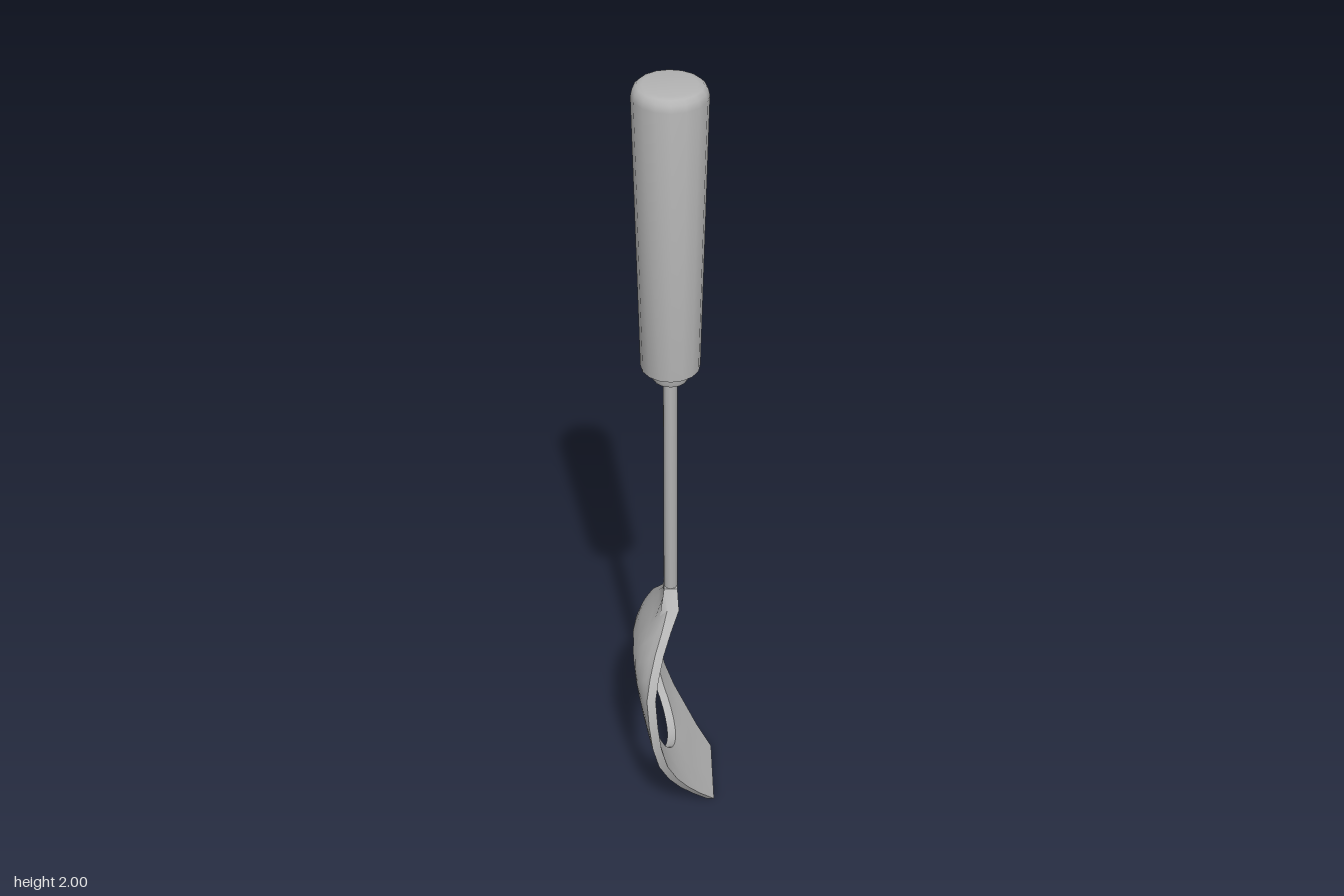
import * as THREE from 'three';
import { toCreasedNormals } from 'three/addons/utils/BufferGeometryUtils.js';

const AXIS = -0.007; // x of the handle axis

// linear interpolation through [y, value] pairs
function lerpTable(table, y) {
  if (y <= table[0][0]) return table[0][1];
  for (let i = 1; i < table.length; i++) {
    const [y0, a] = table[i - 1], [y1, b] = table[i];
    if (y <= y1) return a + (b - a) * (y - y0) / (y1 - y0);
  }
  return table[table.length - 1][1];
}

// half outline of the blade: [y, half width]
const OUTLINE = [[0.0, 0.105], [0.05, 0.137], [0.1, 0.167], [0.15, 0.19], [0.21, 0.21], [0.28, 0.22],
  [0.35, 0.218], [0.42, 0.2], [0.47, 0.175], [0.52, 0.14], [0.56, 0.1], [0.6, 0.06], [0.64, 0.022]];
// depth of the blade along its centre and along its rim: [y, x]
const CENTRE = [[0, 0.097], [0.06, 0.05], [0.14, -0.006], [0.2, -0.035], [0.3, -0.072], [0.4, -0.092],
  [0.45, -0.095], [0.5, -0.079], [0.56, -0.043], [0.6, -0.014], [0.64, AXIS]];
const RIM = [[0, 0.097], [0.06, 0.05], [0.14, 0.0], [0.2, -0.028], [0.3, -0.051], [0.42, -0.06],
  [0.5, -0.047], [0.56, -0.02], [0.6, -0.002], [0.64, AXIS]];

function bladeX(y, z) {
  const t = Math.min(1, Math.abs(z) / lerpTable(OUTLINE, y));
  const c = lerpTable(CENTRE, y);
  return c + (lerpTable(RIM, y) - c) * Math.pow(t, 2.6);
}

// dished plate with an oval hole, swept as closed sections around the hole
function bladeGeometry() {
  const half = [[0, 0], [0, 0.05], ...OUTLINE, [0.64, 0]];
  const loop = [...half, ...half.slice(1, -1).reverse().map(([y, z]) => [y, -z])];
  const steps = 7, cy = 0.298, ry = 0.16, rz = 0.152;
  const pos = [], idx = [];
  for (const [y, z] of loop) {
    const a = Math.atan2(z / rz, (y - cy) / ry);
    const hy = cy + ry * Math.cos(a), hz = rz * Math.sin(a);
    for (const side of [1, -1]) {
      for (let k = 0; k <= steps; k++) {
        const s = (side > 0 ? k : steps - k) / steps;
        const py = hy + (y - hy) * s, pz = hz + (z - hz) * s;
        const thick = 0.011 + 0.006 * THREE.MathUtils.smoothstep(py, 0.54, 0.64)
          - 0.002 * (1 - THREE.MathUtils.smoothstep(py, 0, 0.12));
        pos.push(bladeX(py, pz) + side * thick, py, pz);
      }
    }
  }
  const n = 2 * (steps + 1), m = loop.length;
  for (let i = 0; i < m; i++) {
    for (let k = 0; k < n; k++) {
      const a = i * n + k, b = i * n + (k + 1) % n;
      const c = ((i + 1) % m) * n + k, d = ((i + 1) % m) * n + (k + 1) % n;
      idx.push(a, b, c, b, d, c);
    }
  }
  const g = new THREE.BufferGeometry();
  g.setAttribute('position', new THREE.Float32BufferAttribute(pos, 3));
  g.setIndex(idx);
  // make the faces point outwards
  let volume = 0;
  const p = [0, 1, 2].map(() => new THREE.Vector3());
  for (let i = 0; i < idx.length; i += 3) {
    p.forEach((v, j) => v.fromArray(pos, idx[i + j] * 3));
    volume += p[0].dot(p[1].clone().cross(p[2]));
  }
  if (volume < 0) {
    for (let i = 0; i < idx.length; i += 3) [idx[i], idx[i + 1]] = [idx[i + 1], idx[i]];
    g.setIndex(idx);
  }
  return toCreasedNormals(g, 0.75);
}

export function createModel() {
  const group = new THREE.Group();
  const steel = new THREE.MeshStandardMaterial({ color: 0xb4b4b4 });
  steel.name = 'grey';

  const add = (name, geometry) => {
    const mesh = new THREE.Mesh(geometry, steel);
    mesh.name = name;
    group.add(mesh);
    return mesh;
  };
  // turned part with a slightly oval section, profile from bottom to top
  const turned = (name, profile, sides, oval) => {
    const g = new THREE.LatheGeometry(profile.map(([r, y]) => new THREE.Vector2(r, y)), sides);
    g.scale(oval, 1, 1);
    add(name, toCreasedNormals(g, 0.85)).position.x = AXIS;
  };

  // tapered grip with a rounded top
  turned('handle', [[0, 1.288], [0.08, 1.288], [0.098, 1.972], [0.094, 1.988], [0.084, 1.997], [0.07, 2], [0, 2]], 16, 0.89);
  // stepped collar under the grip
  turned('collar', [[0, 1.254], [0.047, 1.254], [0.05, 1.262], [0.05, 1.292], [0, 1.292]], 14, 0.9);
  // thin rod
  turned('rod', [[0, 0.61], [0.018, 0.61], [0.022, 0.645], [0.022, 1.26], [0, 1.26]], 10, 0.82);
  // curved blade
  add('blade', bladeGeometry());

  return group;
}
